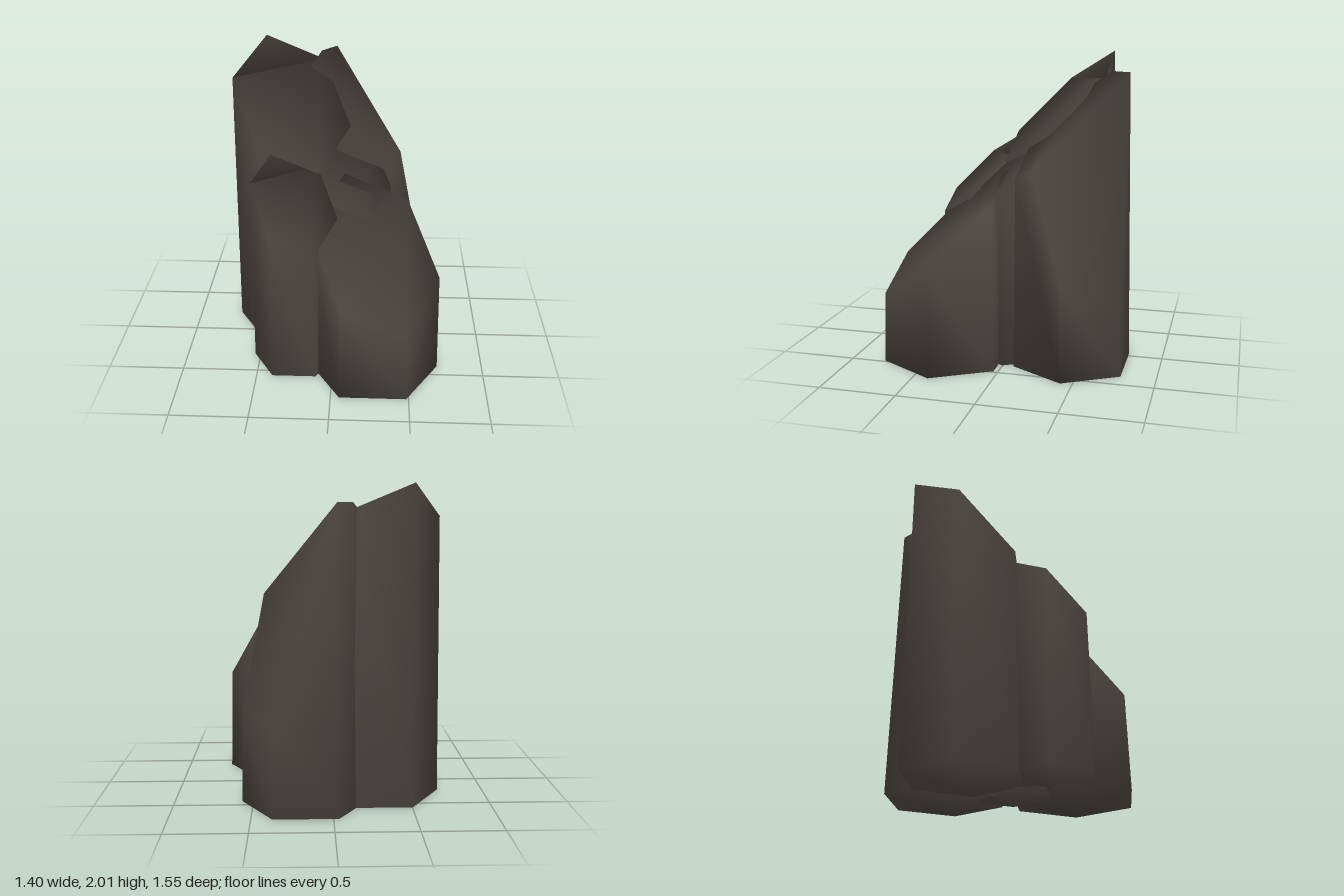
import * as THREE from 'three';

const SLOPE_X = -0.415;
const SLOPE_Z = -0.84;

// Smooth solid from shared points and polygon faces, each split as a fan
function solid(points, faces) {
  const geometry = new THREE.BufferGeometry();
  geometry.setAttribute('position', new THREE.Float32BufferAttribute(points.flat(), 3));
  const index = [];
  for (const f of faces) {
    for (let i = 1; i < f.length - 1; i++) index.push(f[0], f[i], f[i + 1]);
  }
  geometry.setIndex(index);
  geometry.computeVertexNormals();
  return geometry;
}

// Points and faces of a slightly tapered six-sided column with a tilted top.
// Corners run from +x towards +z: 0-5 on the ground, 6-11 on top.
function column({ x, z, r, y, slopeZ = SLOPE_Z }) {
  const ring = (radius, top) => Array.from({ length: 6 }, (_, k) => {
    const dx = radius * Math.cos(k * Math.PI / 3);
    const dz = radius * Math.sin(k * Math.PI / 3);
    return [x + dx, top ? y + SLOPE_X * dx + slopeZ * dz : 0, z + dz];
  });
  const points = [...ring(r, false), ...ring(r * 0.97, true)];
  const sides = [];
  for (let k = 0; k < 6; k++) {
    const n = (k + 1) % 6;
    sides.push([k, k + 6, n + 6, n]);
  }
  return { points, sides, top: [11, 10, 9, 8, 7, 6], bottom: [0, 1, 2, 3, 4, 5] };
}

export function createModel() {
  const group = new THREE.Group();
  const basalt = new THREE.MeshStandardMaterial({ color: 0x4a4340 });
  basalt.name = 'dark basalt';

  const add = (name, points, faces) => {
    const mesh = new THREE.Mesh(solid(points, faces), basalt);
    mesh.name = name;
    group.add(mesh);
  };

  // Whole columns
  const columns = {
    backLeftColumn: { x: -0.30, z: -0.23, r: 0.404, y: 1.64 },
    frontSmallColumn: { x: -0.253, z: 0.307, r: 0.285, y: 1.165 },
    frontLargeColumn: { x: 0.27, z: 0.402, r: 0.43, y: 0.855 },
    middleColumn: { x: 0.08, z: 0, r: 0.295, y: 1.265, slopeZ: -0.77 },
  };
  for (const [name, spec] of Object.entries(columns)) {
    const c = column(spec);
    add(name, c.points, [...c.sides, c.top, c.bottom]);
  }

  // Back column with its rear corner broken away
  const b = column({ x: 0.168, z: -0.424, r: 0.405, y: 1.606 });
  b.points[6][1] = 0.6;
  b.points[11][1] = 0.53;
  b.points[10] = [-0.02, 1.89, -0.74];
  b.points.push([-0.12, 1.89, -0.61], [0.43, 1.31, -0.205]);
  b.sides[0] = [0, 6, 13, 7, 1];
  b.sides[3] = [3, 9, 12, 10, 4];
  const top = [9, 8, 7, 13, 12];
  const chip = [10, 12, 13, 6, 11];
  add('brokenBackColumn', b.points, [...b.sides, top, chip, b.bottom]);

  return group;
}
